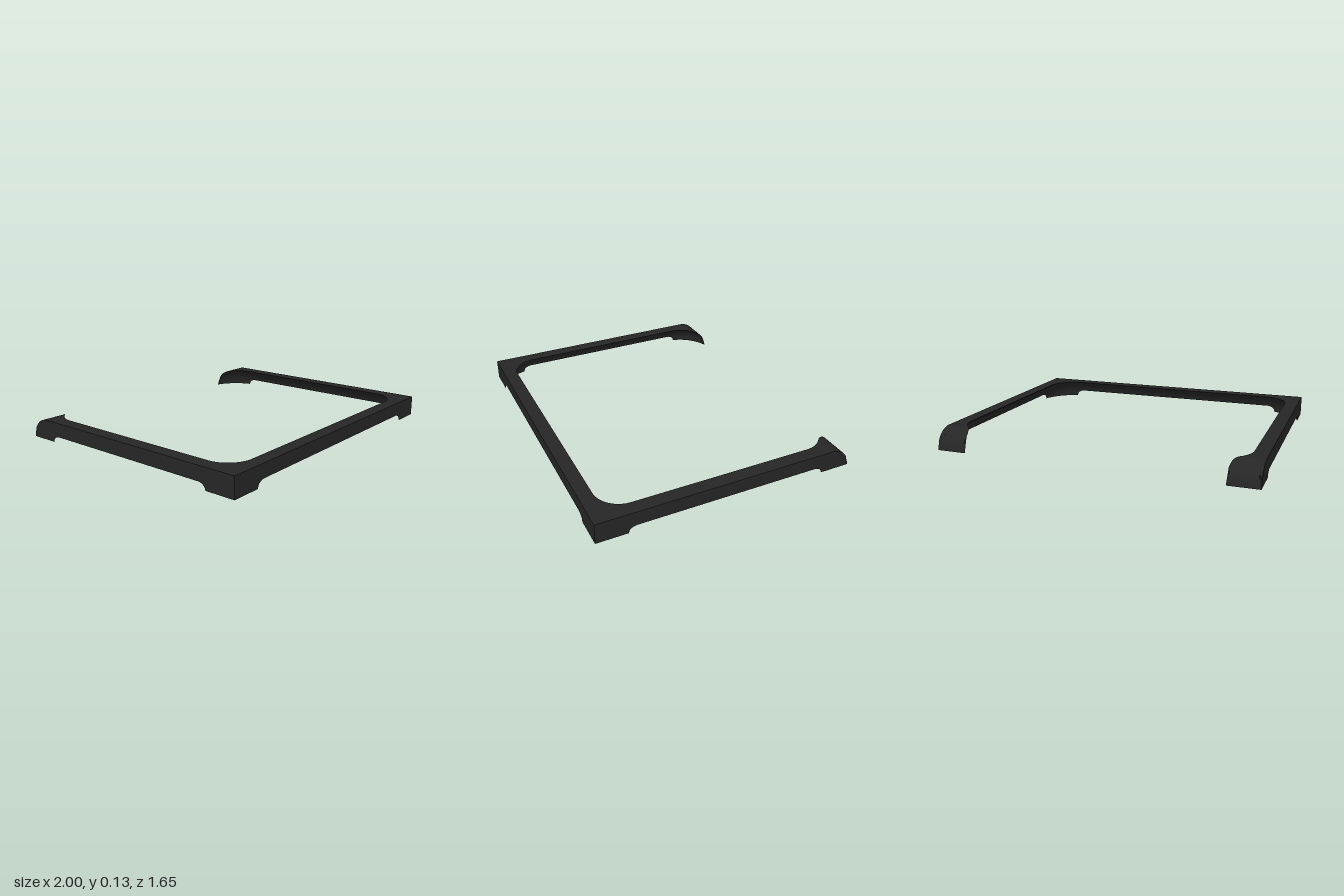
import * as THREE from 'three';
import { toCreasedNormals } from 'three/addons/utils/BufferGeometryUtils.js';

// Outer block: half width, half depth, height and radius of the rounded back edge
const W = 1, D = 0.826, H = 0.13, BACK_R = 0.13;
// Hollow: a rounded rectangle (core + radius) whose radius shrinks towards the top as a cove
const CX = 0.75, CZ = 0.577, R_IN = 0.119, COVE = 0.137;
const wx = W - CX, wz = D - CZ, R0 = R_IN + COVE;
const N = 14; // samples along each curved side of a section

// Closed cross-section along the ray at angle a from the corner core; side = 1 front, -1 back
function section(a, side, coreX = CX) {
  const c = Math.max(Math.cos(a), 1e-6), s = Math.max(Math.sin(a), 1e-6);
  const zLimit = y => side > 0 ? wz
    : D - BACK_R - CZ + Math.sqrt(Math.max(0, BACK_R ** 2 - y * y));
  const outer = y => Math.min(wx / c, zLimit(y) / s);
  const cove = p => R_IN + COVE * Math.cos(p);

  // the cove ends at the top face or where it meets the rounded back
  let pTop = Math.asin(H / COVE);
  if (cove(pTop) > outer(H)) {
    let lo = 0, hi = pTop;
    for (let i = 0; i < 40; i++) {
      const m = (lo + hi) / 2;
      if (cove(m) < outer(COVE * Math.sin(m))) lo = m; else hi = m;
    }
    pTop = lo;
  }
  const reach = outer(0);
  const pEnd = Math.min(pTop, reach < R0 ? Math.acos((reach - R_IN) / COVE) : 0);
  const yEnd = COVE * Math.sin(pEnd), yTop = COVE * Math.sin(pTop);

  // height at which the side wall gives way to the rounded back
  let ySwitch = yTop;
  if (side < 0) {
    const dz = CZ + wx * s / c - (D - BACK_R);
    if (dz > 0) ySwitch = Math.sqrt(Math.max(0, BACK_R ** 2 - dz * dz));
    ySwitch = Math.min(yTop, Math.max(yEnd, ySwitch));
  }

  const ring = [];
  const add = (r, y) => ring.push(new THREE.Vector3(coreX + r * Math.cos(a), y, side * (CZ + r * Math.sin(a))));
  for (let i = 0; i <= N; i++) {
    const p = pTop + (pEnd - pTop) * i / N;
    add(cove(p), COVE * Math.sin(p));
  }
  add(outer(yEnd), yEnd);
  add(outer(ySwitch), ySwitch);
  const b0 = Math.asin(Math.min(1, ySwitch / BACK_R)), b1 = Math.asin(Math.min(1, yTop / BACK_R));
  for (let i = 1; i <= N; i++) {
    const y = BACK_R * Math.sin(b0 + (b1 - b0) * i / N);
    add(outer(y), y);
  }
  return ring;
}

// Angles between the given breaks, so sharp corners fall exactly on a section
function angles(breaks, steps = 9) {
  const out = [breaks[0]];
  for (let k = 1; k < breaks.length; k++)
    for (let i = 1; i <= steps; i++)
      out.push(breaks[k - 1] + (breaks[k] - breaks[k - 1]) * i / steps);
  return out;
}

function loft(rings) {
  const pos = [];
  const tri = (a, b, c) => {
    const area = b.clone().sub(a).cross(c.clone().sub(a)).length();
    if (area > 1e-10) pos.push(...a.toArray(), ...b.toArray(), ...c.toArray());
  };
  for (let i = 0; i < rings.length - 1; i++) {
    const p = rings[i], q = rings[i + 1], n = p.length;
    for (let j = 0; j < n; j++) {
      const k = (j + 1) % n;
      tri(p[j], p[k], q[k]);
      tri(p[j], q[k], q[j]);
    }
  }
  const g = new THREE.BufferGeometry();
  g.setAttribute('position', new THREE.Float32BufferAttribute(pos, 3));
  return toCreasedNormals(g, 0.5);
}

export function createModel() {
  const group = new THREE.Group();
  group.name = 'cornerFrame';

  const footStart = Math.acos(wx / R0), footEnd = Math.asin(wz / R0);
  const corner = Math.atan2(wz, wx);
  const roundStart = Math.atan2(D - BACK_R - CZ, wx);

  // left half: back foot, side rail, front corner, half the front rail
  const half = [
    ...angles([0, footStart, roundStart, corner, footEnd]).reverse().map(a => section(a, -1)),
    ...angles([0, footStart, corner, footEnd, Math.PI / 2]).map(a => section(a, 1)),
  ];
  // right half mirrors the left
  const mirrored = half.map(r => r.map(v => new THREE.Vector3(-v.x, v.y, v.z))).reverse();

  const frame = new THREE.Mesh(
    loft([...half, section(Math.PI / 2, 1, 0), ...mirrored]),
    new THREE.MeshStandardMaterial({ color: 0x262626 })
  );
  frame.name = 'openFrame';
  group.add(frame);
  return group;
}
